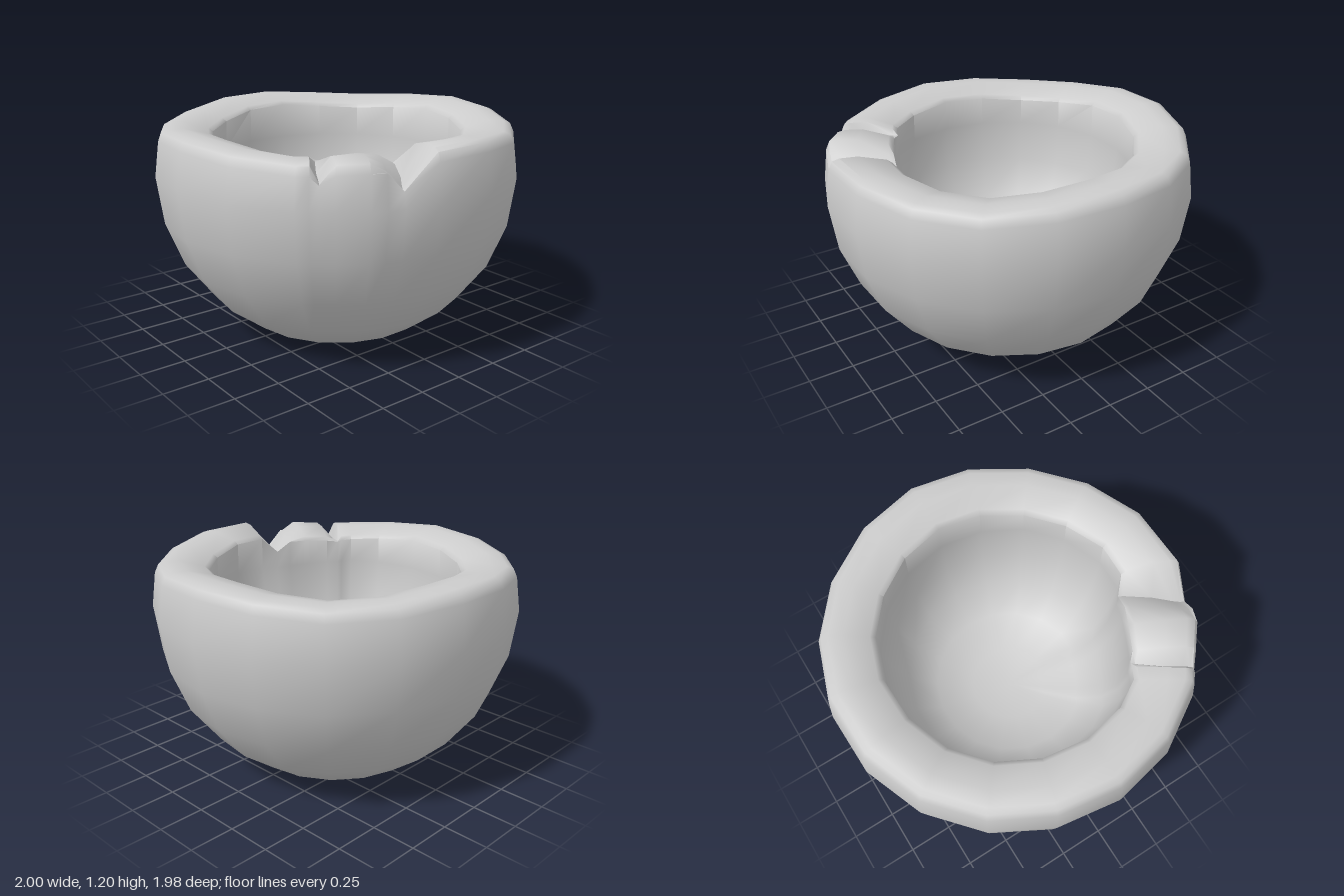
import * as THREE from 'three';
import { toCreasedNormals } from 'three/addons/utils/BufferGeometryUtils.js';

const { degToRad, lerp } = THREE.MathUtils;
const STEP = 20; // the bowl has 18 sides
const START = 8.7;

// Wall section from the outer base, over the rim, to the inner floor:
// [radius, height, how far across the rim (0 outer, 1 inner), rim waviness]
const SECTION = [
  [0, 0.005, 0, 0], [0.25, 0.013, 0, 0], [0.505, 0.055, 0, 0], [0.71, 0.21, 0, 0],
  [0.87, 0.42, 0, 0], [0.965, 0.66, 0, 0], [1, 0.92, 0, 0], [0.975, 1.13, 0, 1],
  [0.955, 1.174, 0, 1], [0.92, 1.187, 0.1, 1], [0.84, 1.19, 0.45, 1],
  [0.71, 1.155, 0.95, 1], [0.685, 1.135, 1, 1],
  [0.688, 0.95, 1, 0], [0.66, 0.72, 1, 0], [0.58, 0.51, 1, 0],
  [0.43, 0.36, 1, 0], [0.22, 0.3, 1, 0], [0, 0.285, 1, 0],
];

// Columns around the bowl: outer angle, inner angle, height limit outside and inside, inner radius scale
function makeColumns() {
  const columns = [
    [START, 4, 1.25, 1.25, 0.97],
    [19, 11, 1.0, 1.05, 0.9], // wide groove
    [24, 19, 1.09, 1.1, 0.9],
    [28.7, 28.7, 1.155, 1.13, 0.9], // raised piece between the grooves
    [38, 41, 1.168, 1.165, 0.93],
    [42.5, 47, 1.04, 1.08, 0.93], // narrow groove
    [45, 49, 1.165, 1.15, 0.95],
    [48.7, 54, 1.25, 1.25, 0.99],
  ];
  for (let a = START + 3 * STEP; a < 360; a += STEP) columns.push([a, a, 1.25, 1.25, 1]);
  return columns;
}

function bowlGeometry() {
  const columns = makeColumns();
  const positions = [];
  const indices = [];
  const rows = SECTION.length;

  for (const [outer, inner, limitOut, limitIn, scale] of columns) {
    // keeps the extra columns of the chip on the flat sides
    const offCentre = ((outer - START) % STEP) - STEP / 2;
    const flat = Math.cos(degToRad(STEP / 2)) / Math.cos(degToRad(offCentre));
    for (const [radius, height, across, wave] of SECTION) {
      const t = degToRad(lerp(outer, inner, across));
      const r = radius * lerp(flat, scale, across);
      const dip = 0.03 * Math.max(0, Math.sin(t)) + 0.018 * Math.max(0, Math.cos(t));
      const wobble = wave * (0.017 * Math.cos(4 * t) - dip);
      const y = Math.min(height + wobble, lerp(limitOut, limitIn, across));
      positions.push(-r * Math.sin(t), y, r * Math.cos(t));
    }
  }
  for (let i = 0; i < columns.length; i++) {
    const here = i * rows;
    const next = ((i + 1) % columns.length) * rows;
    for (let j = 0; j < rows - 1; j++) {
      // single triangles at the two centres, pairs elsewhere
      if (j > 0) indices.push(next + j, here + j, here + j + 1);
      if (j < rows - 2) indices.push(next + j, here + j + 1, next + j + 1);
    }
  }
  const geometry = new THREE.BufferGeometry();
  geometry.setAttribute('position', new THREE.Float32BufferAttribute(positions, 3));
  geometry.setIndex(indices);
  return toCreasedNormals(geometry, degToRad(55));
}

export function createModel() {
  const group = new THREE.Group();
  group.name = 'chippedBowl';

  const stone = new THREE.MeshStandardMaterial({ color: 0xcccccc });
  stone.name = 'paleGrey';

  // Thick-walled bowl with two grooves in the rim
  const bowl = new THREE.Mesh(bowlGeometry(), stone);
  bowl.name = 'bowl';
  group.add(bowl);
  return group;
}
